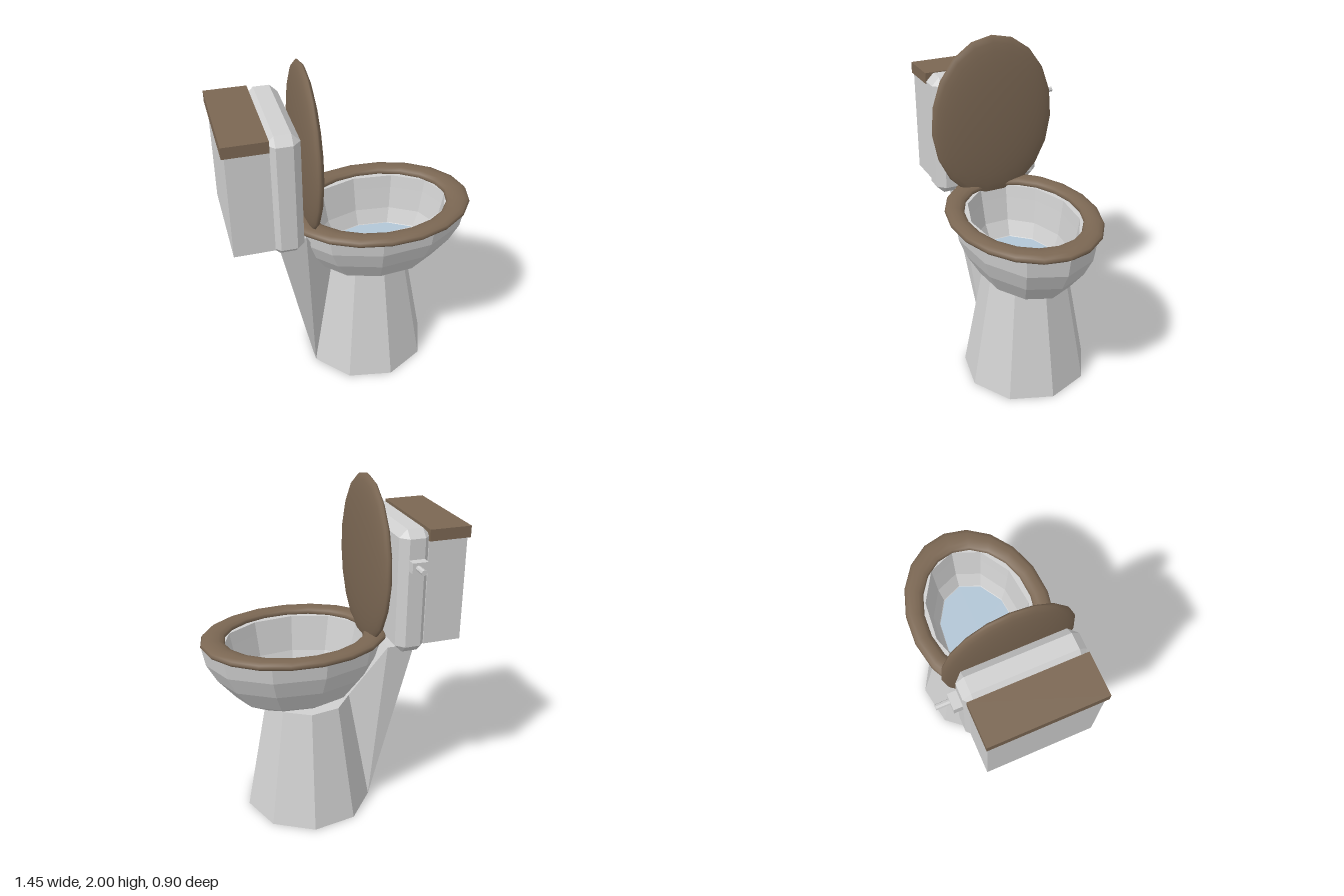
import * as THREE from 'three';
import { ConvexGeometry } from 'three/addons/geometries/ConvexGeometry.js';

const porcelain = new THREE.MeshStandardMaterial({ color: 0xd0d0d0 });
porcelain.name = 'porcelain';
const wood = new THREE.MeshStandardMaterial({ color: 0x7b6753 });
wood.name = 'brown wood';
const blue = new THREE.MeshStandardMaterial({ color: 0xb2c6d6 });
blue.name = 'water blue';

// Gives every face its own normal
function faceted(geometry) {
  const g = geometry.index ? geometry.toNonIndexed() : geometry;
  g.computeVertexNormals();
  return g;
}

export function createModel() {
  const model = new THREE.Group();
  model.name = 'toilet';

  function add(name, geometry, material) {
    const mesh = new THREE.Mesh(geometry, material);
    mesh.name = name;
    model.add(mesh);
    return mesh;
  }

  // Box given by its extents
  function box(name, material, [x0, x1], [y0, y1], [z0, z1]) {
    const mesh = add(name, new THREE.BoxGeometry(x1 - x0, y1 - y0, z1 - z0), material);
    mesh.position.set((x0 + x1) / 2, (y0 + y1) / 2, (z0 + z1) / 2);
  }

  // Pedestal: tapered nine-sided column
  const pedestal = add('pedestal',
    faceted(new THREE.CylinderGeometry(0.25, 0.38, 0.71, 9, 1, false, Math.PI / 2)), porcelain);
  pedestal.position.set(0.115, 0.355, -0.02);

  // Support leaning back from the pedestal to the tank
  const support = [];
  for (const s of [-1, 1]) {
    support.push(
      new THREE.Vector3(-0.242, 0, -0.02 + s * 0.13),
      new THREE.Vector3(-0.12, 0.71, -0.02 + s * 0.085),
      new THREE.Vector3(-0.46, 1.06, -0.01 + s * 0.24),
      new THREE.Vector3(-0.3, 1.06, -0.01 + s * 0.235));
  }
  add('rearSupport', faceted(new ConvexGeometry(support)), porcelain);

  // Bowl: outside wall, rim and hollow inside
  const profile = [
    [0, 0.66], [0.22, 0.66], [0.36, 0.735], [0.465, 0.86], [0.525, 0.97], [0.545, 1.075],
    [0.42, 1.075], [0.405, 1.0], [0.375, 0.86], [0.33, 0.77], [0.29, 0.74], [0, 0.72],
  ].map(([r, y]) => new THREE.Vector2(r, y));
  const bowl = add('bowl',
    faceted(new THREE.LatheGeometry(profile, 11, Math.PI / 2).scale(1, 1, 0.7)), porcelain);
  bowl.position.set(0.17, 0, 0.025);

  // Water surface, meeting the inside wall
  const water = add('water', new THREE.CircleGeometry(0.325, 11).rotateX(-Math.PI / 2).scale(1, 1, 0.7), blue);
  water.position.set(0.17, 0.768, 0.025);

  // Seat ring
  const seat = add('seat',
    new THREE.TorusGeometry(0.48, 0.07, 12, 19).rotateX(Math.PI / 2).scale(1, 0.4, 0.764), wood);
  seat.position.set(0.17, 1.086, 0.027);

  // Raised lid
  const lid = add('lid',
    new THREE.SphereGeometry(1, 19, 16).rotateZ(-Math.PI / 2).scale(0.058, 0.49, 0.378), wood);
  lid.position.set(-0.25, 1.51, 0.015);

  // Front tank with bevelled edges: each corner is cut along all three axes
  const half = [0.09, 0.36, 0.33];
  const bevel = 0.045;
  const corners = [];
  for (const sx of [-1, 1]) for (const sy of [-1, 1]) for (const sz of [-1, 1]) {
    for (let full = 0; full < 3; full++) {
      const [x, y, z] = half.map((h, i) => (i === full ? h : h - bevel));
      corners.push(new THREE.Vector3(-0.416 + sx * x, 1.4 + sy * y, 0.005 + sz * z));
    }
  }
  add('frontTank', faceted(new ConvexGeometry(corners)), porcelain);

  // Rear tank and its cover
  box('rearTank', porcelain, [-0.715, -0.49], [1.085, 1.7], [-0.305, 0.32]);
  box('tankCover', wood, [-0.73, -0.49], [1.69, 1.755], [-0.315, 0.328]);

  // Flush handle on the right-hand side
  box('handleMount', porcelain, [-0.46, -0.37], [1.54, 1.6], [-0.375, -0.3]);
  const handle = add('flushHandle',
    faceted(new THREE.CylinderGeometry(0.016, 0.016, 0.09, 8).rotateX(Math.PI / 2)), porcelain);
  handle.position.set(-0.403, 1.57, -0.405);

  return model;
}
